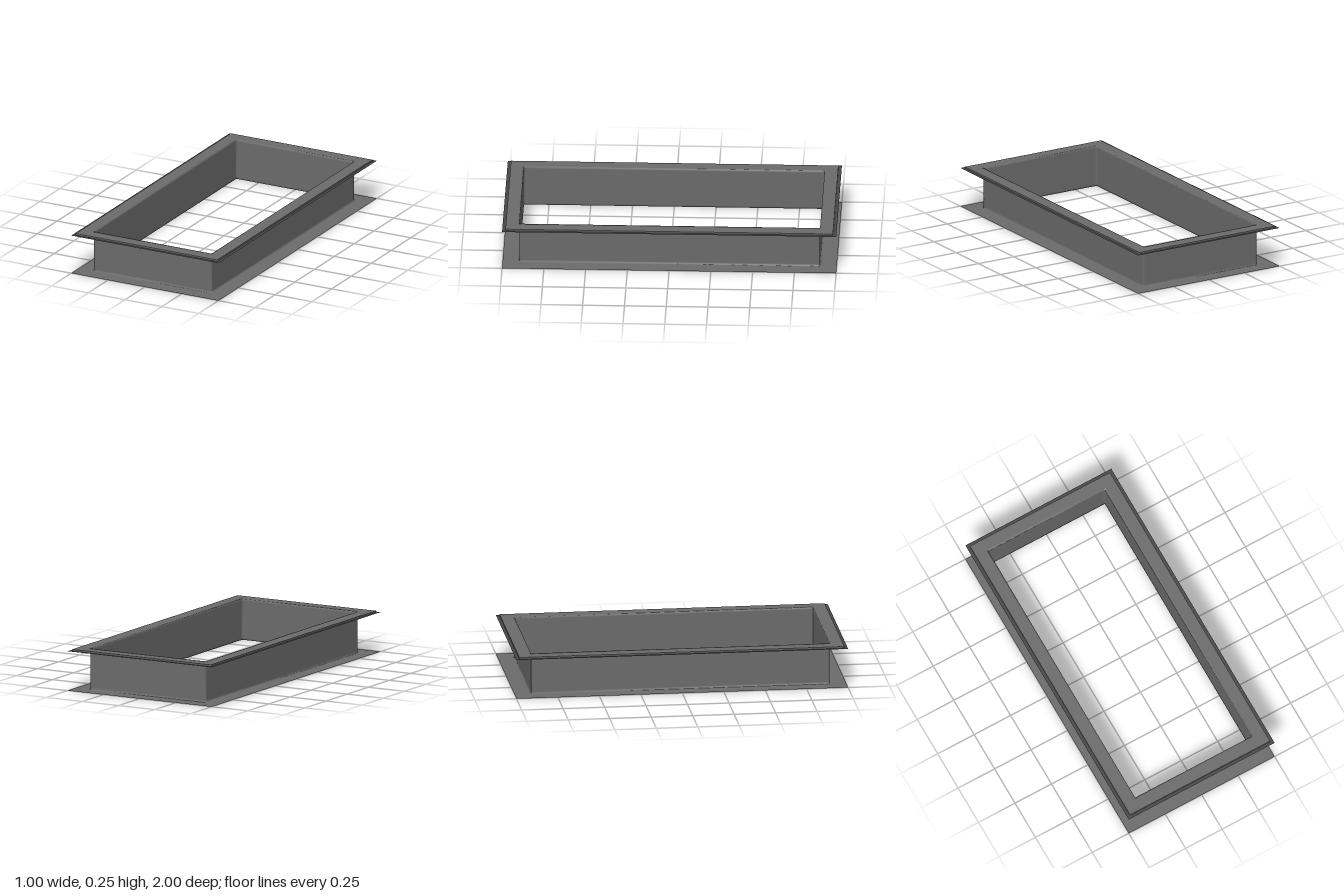
import * as THREE from 'three';

const CORNERS = [[1, 1], [1, -1], [-1, -1], [-1, 1]];
const WALL_X = 0.4, WALL_Z = 0.9, HEIGHT = 0.25;
const BASE_WIDTH = 0.1, TOP_WIDTH = 0.08, STEP = 0.01;
const SOFT = 0.012; // width of the softly shaded band beside each bend

// Sweeps a profile of [outward offset from the wall, height] points around the
// rectangle, with an extra column on either side of every corner.
function sweepSheet(name, profile, color) {
  const positions = [], index = [];
  const rows = profile.length, columns = CORNERS.length * 3;
  CORNERS.forEach(([sx, sz], i) => {
    const [px, pz] = CORNERS[(i + 3) % 4], [nx, nz] = CORNERS[(i + 1) % 4];
    const shifts = [[px - sx, pz - sz], [0, 0], [nx - sx, nz - sz]];
    for (const [dx, dz] of shifts) {
      for (const [offset, y] of profile) {
        positions.push(
          sx * (WALL_X + offset) + dx / 2 * SOFT, y,
          sz * (WALL_Z + offset) + dz / 2 * SOFT);
      }
    }
  });
  for (let c = 0; c < columns; c++) {
    for (let r = 0; r < rows - 1; r++) {
      const a = c * rows + r, d = ((c + 1) % columns) * rows + r;
      index.push(a, a + 1, d + 1, a, d + 1, d);
    }
  }
  const geometry = new THREE.BufferGeometry();
  geometry.setAttribute('position', new THREE.Float32BufferAttribute(positions, 3));
  geometry.setIndex(index);
  geometry.computeVertexNormals();
  const material = new THREE.MeshStandardMaterial({ color, side: THREE.DoubleSide });
  const mesh = new THREE.Mesh(geometry, material);
  mesh.name = name;
  return mesh;
}

export function createModel() {
  const group = new THREE.Group();
  group.name = 'flangedFrame';
  const grey = 0x6b6b6b, darkGrey = 0x474747;
  const rimY = HEIGHT - STEP;

  group.add(
    // Top flange, upright walls and base flange, bent from one sheet
    sweepSheet('flangedWalls', [
      [TOP_WIDTH, HEIGHT], [SOFT, HEIGHT], [0, HEIGHT], [0, HEIGHT - SOFT],
      [0, SOFT], [0, 0], [SOFT, 0], [BASE_WIDTH, 0],
    ], grey),
    // Small step down at the edge of the top flange
    sweepSheet('topStep', [[TOP_WIDTH, HEIGHT], [TOP_WIDTH, rimY]], grey),
    // Narrow dark rim outside the step
    sweepSheet('outerRim', [[TOP_WIDTH, rimY], [BASE_WIDTH, rimY]], darkGrey)
  );
  return group;
}
